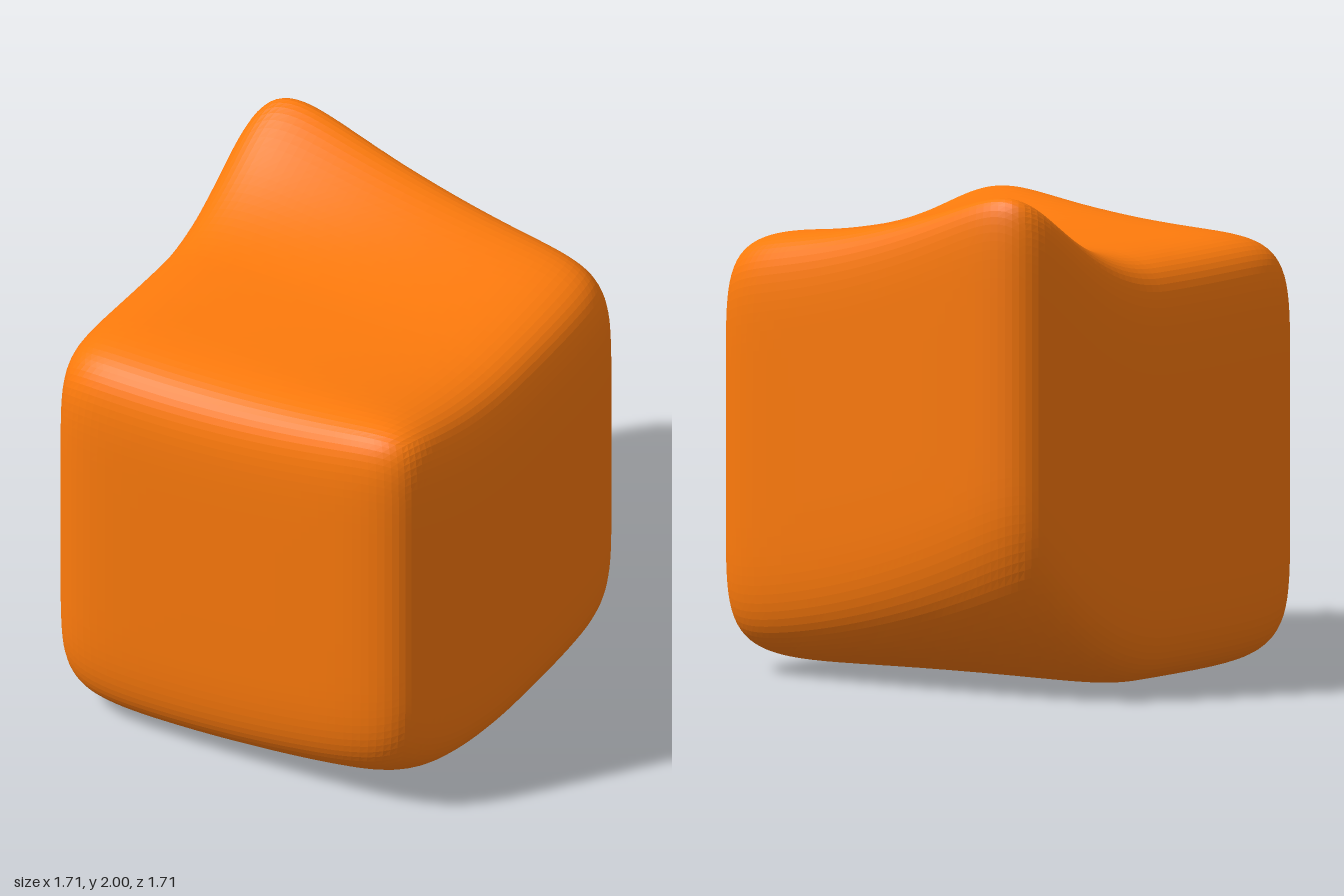
import * as THREE from 'three';
import { mergeVertices } from 'three/addons/utils/BufferGeometryUtils.js';

const HALF = 0.855; // half side of the rounded cube
const POWER = 7.5;  // squareness of its rounding

// Vertical shift that warps the cube: strongly up at the back corner on -x,
// gently up at the front corner on +x, flat along the middle.
function lift(x, z) {
  const u = x / 0.75, w = z / 0.75;
  const edge = w < 0
    ? 0.165 - 0.175 * u + 0.06 * u * u
    : 0.038 + 0.06 * u + 0.045 * u * u;
  return edge * w * w;
}

export function createModel() {
  const group = new THREE.Group();
  group.name = 'warpedCube';

  // Fine, lightly faceted cube
  let geometry = new THREE.BoxGeometry(2, 2, 2, 44, 44, 44);
  geometry.deleteAttribute('normal');
  geometry.deleteAttribute('uv');
  geometry = mergeVertices(geometry);

  // Round the cube, then shift each vertical column
  const pos = geometry.attributes.position;
  const v = new THREE.Vector3();
  for (let i = 0; i < pos.count; i++) {
    v.fromBufferAttribute(pos, i);
    const sum = v.toArray().reduce((s, c) => s + Math.pow(Math.abs(c), POWER), 0);
    v.multiplyScalar(HALF / Math.pow(sum, 1 / POWER));
    pos.setXYZ(i, v.x, v.y + HALF + lift(v.x, v.z), v.z);
  }
  geometry.computeVertexNormals();

  // Stand it on the ground
  geometry.computeBoundingBox();
  geometry.translate(0, -geometry.boundingBox.min.y, 0);

  const body = new THREE.Mesh(
    geometry,
    new THREE.MeshStandardMaterial({ color: 0xff7b0c, flatShading: true })
  );
  body.name = 'body';
  group.add(body);
  return group;
}
